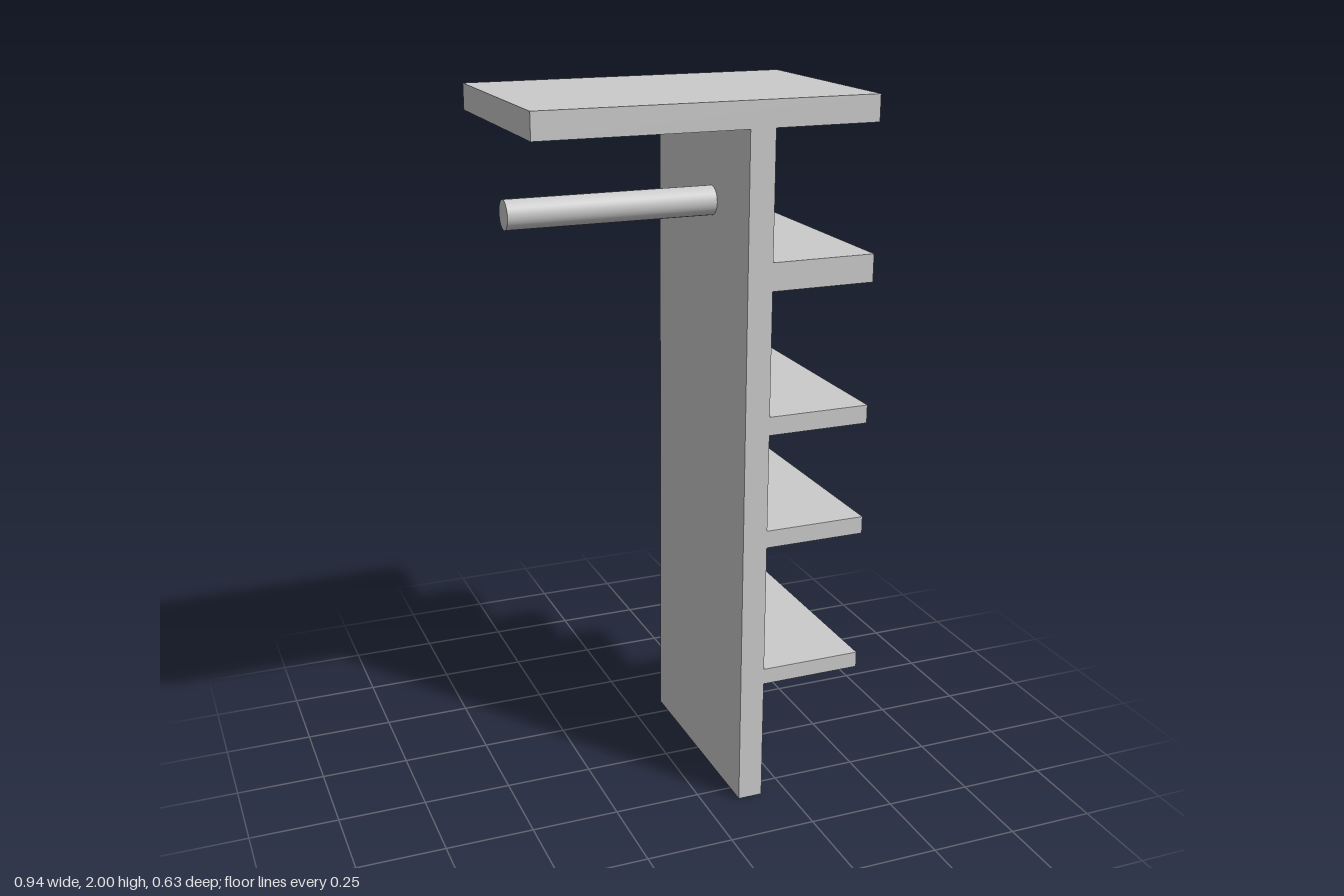
import * as THREE from 'three';

const material = new THREE.MeshStandardMaterial({ color: 0xcccccc });
const DEPTH = 0.627;

// Board running the full depth, given by its x and y limits
function board(name, x0, x1, y0, y1) {
  const mesh = new THREE.Mesh(new THREE.BoxGeometry(x1 - x0, y1 - y0, DEPTH), material);
  mesh.position.set((x0 + x1) / 2, (y0 + y1) / 2, 0);
  mesh.name = name;
  return mesh;
}

export function createModel() {
  const group = new THREE.Group();
  group.name = 'wardrobeShelfUnit';

  // Upright panel and the top board resting on it
  group.add(board('uprightPanel', 0.104, 0.175, 0, 1.928));
  group.add(board('topBoard', -0.47, 0.47, 1.928, 2));

  // Shelves on the left side, the highest one thicker
  const shelves = [[0.36, 0.406], [0.78, 0.83], [1.108, 1.16], [1.505, 1.582]];
  shelves.forEach(([y0, y1], i) => group.add(board(`shelf${i + 1}`, 0.175, 0.47, y0, y1)));

  // Hanging rail on the right side
  const length = 0.58;
  const rail = new THREE.Mesh(new THREE.CylinderGeometry(0.04, 0.04, length, 32), material);
  rail.rotation.z = Math.PI / 2;
  rail.position.set(-0.475 + length / 2, 1.708, 0.067);
  rail.name = 'hangingRail';
  group.add(rail);

  return group;
}
